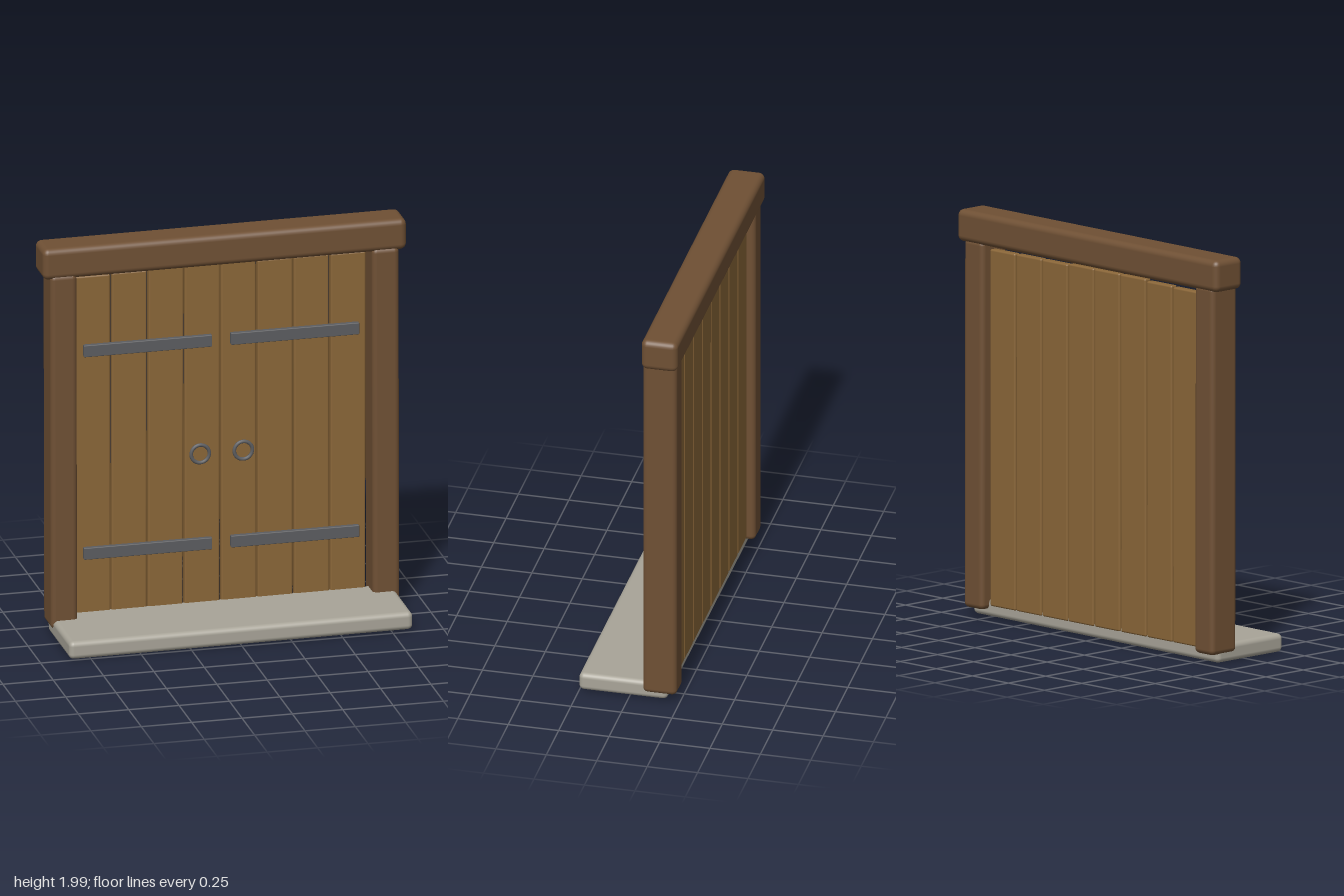
import * as THREE from 'three';
import { RoundedBoxGeometry } from 'three/addons/geometries/RoundedBoxGeometry.js';

const material = (color) => new THREE.MeshStandardMaterial({ color });

export function createModel() {
  const model = new THREE.Group();
  const beamWood = material(0x6f5034);
  const plankWood = material(0x8a6638);
  const iron = material(0x5c5d60);
  const stone = material(0xa8a498);

  // Rounded block given by its extents, with a slight tilt for a hand-built look
  function block(name, mat, [x0, x1], [y0, y1], [z0, z1], radius, tilt = 0) {
    const geometry = new RoundedBoxGeometry(x1 - x0, y1 - y0, z1 - z0, 3, radius);
    const mesh = new THREE.Mesh(geometry, mat);
    mesh.name = name;
    mesh.position.set((x0 + x1) / 2, (y0 + y1) / 2, (z0 + z1) / 2);
    mesh.rotation.z = tilt;
    model.add(mesh);
    return mesh;
  }

  // Stone step and timber frame
  block('doorstep', stone, [-0.855, 0.85], [0.01, 0.1], [-0.19, 0.25], 0.025, 0.005);
  block('lintel', beamWood, [-0.905, 0.9], [1.84, 1.997], [-0.25, -0.07], 0.03, 0.003);
  block('rightPost', beamWood, [-0.867, -0.735], [0.05, 1.86], [-0.238, -0.07], 0.025, 0.002);
  block('leftPost', beamWood, [0.73, 0.864], [0.05, 1.86], [-0.238, -0.07], 0.025, 0.002);

  // Eight door planks with uneven tops and tilts
  const tops = [1.813, 1.817, 1.825, 1.826, 1.826, 1.821, 1.822, 1.821];
  const tilts = [0.001, -0.001, -0.002, -0.001, 0.001, 0, 0.001, -0.001];
  tops.forEach((top, i) => {
    const x = (i - 3.5) * 0.181 - 0.004;
    block('plank' + (i + 1), plankWood, [x - 0.087, x + 0.087], [0.07, top], [-0.2, -0.16], 0.009, tilts[i]);
  });

  // Iron straps and ring pull on each leaf
  for (const side of [-1, 1]) {
    const label = side < 0 ? 'right' : 'left';
    const x = side * 0.365 - 0.003;
    for (const [level, y] of [['Lower', 0.4], ['Upper', 1.436]]) {
      block(label + level + 'Strap', iron, [x - 0.318, x + 0.318], [y - 0.03, y + 0.03], [-0.165, -0.138], 0.004);
    }
    const ring = new THREE.Mesh(new THREE.TorusGeometry(0.045, 0.009, 10, 32), iron);
    ring.name = label + 'RingPull';
    ring.position.set(side * 0.107 - 0.002, 0.862, -0.144);
    model.add(ring);
  }
  return model;
}
